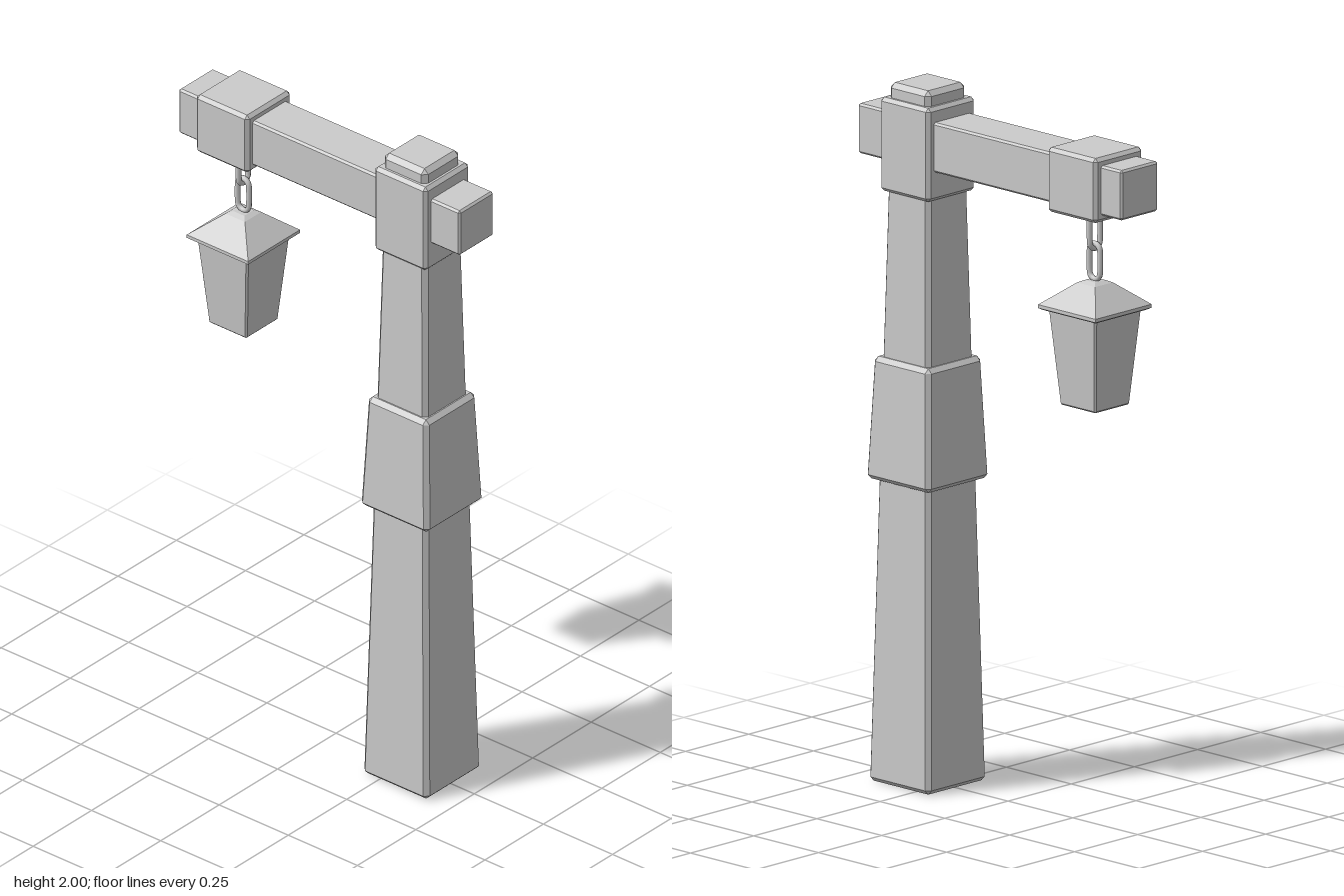
import * as THREE from 'three';
import { ConvexGeometry } from 'three/addons/geometries/ConvexGeometry.js';

const material = new THREE.MeshStandardMaterial({ color: 0xcccccc, flatShading: true });
const smooth = new THREE.MeshStandardMaterial({ color: 0xcccccc });
const POST_Z = 0.31;
const LAMP_Z = -0.335;

// Block with chamfered edges whose square section may taper from y0 to y1.
function block(name, y0, y1, bottom, top, bevel, z, length) {
  const points = [];
  for (const sx of [-1, 1]) for (const sz of [-1, 1]) for (const up of [false, true]) {
    const hx = (up ? top : bottom) / 2;
    const hz = length ? length / 2 : hx;
    const y = up ? y1 : y0;
    const inner = up ? y1 - bevel : y0 + bevel;
    points.push(
      new THREE.Vector3(sx * (hx - bevel), y, z + sz * (hz - bevel)),
      new THREE.Vector3(sx * hx, inner, z + sz * (hz - bevel)),
      new THREE.Vector3(sx * (hx - bevel), inner, z + sz * hz)
    );
  }
  const mesh = new THREE.Mesh(new ConvexGeometry(points), material);
  mesh.name = name;
  return mesh;
}

// Elongated ring in the xy plane, centred on its own origin.
function chainLink(name, height, width, wire) {
  const r = width / 2 - wire;
  const straight = height / 2 - wire - r;
  const path = [];
  for (let i = 0; i < 20; i++) {
    const a = ((i + 0.5) / 20) * Math.PI * 2;
    path.push(new THREE.Vector3(r * Math.cos(a), r * Math.sin(a) + Math.sign(Math.sin(a)) * straight, 0));
  }
  const curve = new THREE.CatmullRomCurve3(path, true);
  const mesh = new THREE.Mesh(new THREE.TubeGeometry(curve, 40, wire, 8, true), smooth);
  mesh.name = name;
  return mesh;
}

// Hipped roof with a thin eave: stacked square rings of [width, y].
function lanternRoof() {
  const points = [];
  for (const [w, y] of [[0.205, 1.472], [0.222, 1.477], [0.222, 1.487], [0.07, 1.55], [0.04, 1.557]])
    for (const sx of [-1, 1]) for (const sz of [-1, 1])
      points.push(new THREE.Vector3(sx * w / 2, y, LAMP_Z + sz * w / 2));
  const mesh = new THREE.Mesh(new ConvexGeometry(points), material);
  mesh.name = 'lanternRoof';
  return mesh;
}

export function createModel() {
  const model = new THREE.Group();
  model.name = 'lampPost';

  // Upright post with its collar, head and cap
  model.add(
    block('post', 0, 1.72, 0.236, 0.163, 0.013, POST_Z),
    block('collar', 0.866, 1.216, 0.246, 0.218, 0.013, POST_Z),
    block('head', 1.69, 1.958, 0.19, 0.19, 0.01, POST_Z),
    block('cap', 1.93, 2, 0.156, 0.156, 0.014, POST_Z)
  );

  // Cross arm and the block that carries the lantern
  model.add(
    block('arm', 1.773, 1.916, 0.146, 0.146, 0.006, 0, 1.018),
    block('hangerBlock', 1.753, 1.938, 0.19, 0.19, 0.01, LAMP_Z)
  );

  // Two interlocked chain links
  const chain = new THREE.Group();
  chain.name = 'chain';
  const upper = chainLink('upperLink', 0.13, 0.056, 0.008);
  upper.position.set(0, 1.705, LAMP_Z);
  const lower = chainLink('lowerLink', 0.118, 0.056, 0.008);
  lower.position.set(0, 1.611, LAMP_Z);
  lower.rotation.y = Math.PI / 2;
  chain.add(upper, lower);

  // Lantern
  const lantern = new THREE.Group();
  lantern.name = 'lantern';
  lantern.add(lanternRoof(), block('lanternBody', 1.2, 1.48, 0.138, 0.184, 0.005, LAMP_Z));
  model.add(chain, lantern);

  return model;
}
